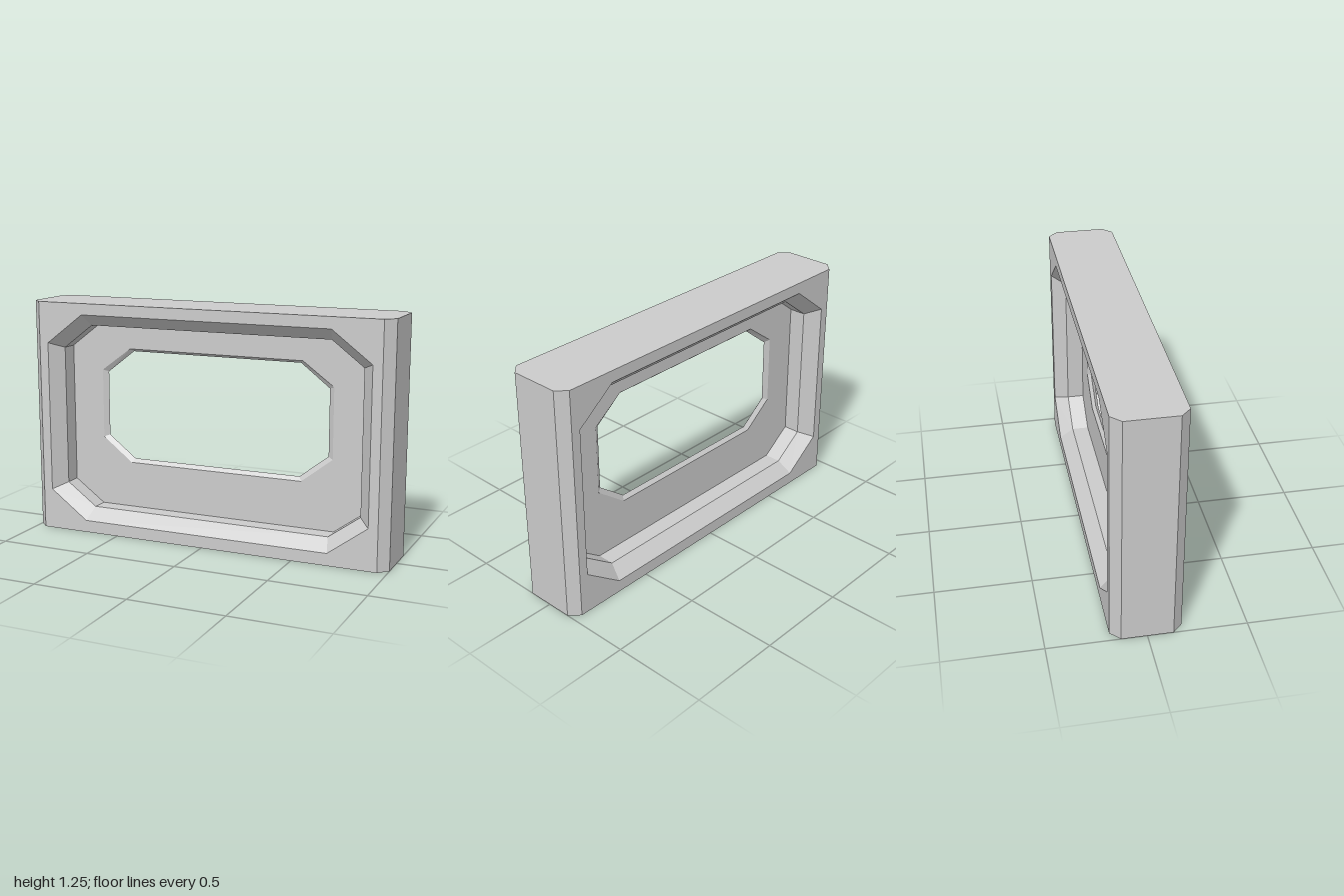
import * as THREE from 'three';

const W = 1, H = 1.25, D = 0.18, C = 0.05; // half width, height, half depth, corner chamfer
const PANEL_Z = 0.018;
const material = new THREE.MeshStandardMaterial({ color: 0xcccccc, flatShading: true });

// Counter-clockwise octagon: half width, corner half width, bottom, lower corner, upper corner, top
const octagon = (x, cx, y0, c0, c1, y1) => [
  [-cx, y0], [cx, y0], [x, c0], [x, c1], [cx, y1], [-cx, y1], [-x, c1], [-x, c0],
];
const rimOuter = octagon(0.9, 0.69, 0.065, 0.22, 1.03, 1.19);
const rimInner = octagon(0.838, 0.67, 0.128, 0.25, 1.0, 1.128);
const holeOuter = octagon(0.658, 0.49, 0.375, 0.505, 0.877, 1.0);
const holeInner = octagon(0.63, 0.475, 0.396, 0.515, 0.866, 0.986);

const atZ = (points, z) => points.map(([x, y]) => [x, y, z]);

// Quads between two matching rows of points
function strip(a, b, closed) {
  const pos = [];
  const n = a.length;
  for (let i = 0; i < (closed ? n : n - 1); i++) {
    const j = (i + 1) % n;
    pos.push(...a[i], ...a[j], ...b[j], ...a[i], ...b[j], ...b[i]);
  }
  const g = new THREE.BufferGeometry();
  g.setAttribute('position', new THREE.Float32BufferAttribute(pos, 3));
  g.computeVertexNormals();
  return g;
}

// Flat face, optionally with an opening
function face(points, hole) {
  const toVectors = (p) => p.map(([x, y]) => new THREE.Vector2(x, y));
  const shape = new THREE.Shape(toVectors(points));
  if (hole) shape.holes.push(new THREE.Path(toVectors(hole)));
  return new THREE.ShapeGeometry(shape);
}

function add(group, name, geometry) {
  const mesh = new THREE.Mesh(geometry, material);
  mesh.name = name;
  group.add(mesh);
}

// One half of the block: frame face, stepped recess, panel and window edge
function createSide(name) {
  const g = new THREE.Group();
  g.name = name;
  const border = [[C - W, 0], [W - C, 0], [W - C, H], [C - W, H]];
  add(g, 'frameFace', face(border, rimOuter).translate(0, 0, D));
  add(g, 'recessBevel', strip(atZ(rimOuter, D), atZ(rimInner, 0.108), true));
  add(g, 'recessWall', strip(atZ(rimInner, 0.108), atZ(rimInner, PANEL_Z), true));
  add(g, 'panel', face(rimInner, holeOuter).translate(0, 0, PANEL_Z));
  add(g, 'windowBevel', strip(atZ(holeOuter, PANEL_Z), atZ(holeInner, 0), true));

  // Chamfered end
  const edge = [[W - C, D], [W, D - C], [W, C - D], [W - C, -D]];
  const row = (y) => edge.map(([x, z]) => [x, y, z]);
  add(g, 'chamferedEnd', strip(row(0), row(H), false));
  return g;
}

export function createModel() {
  const model = new THREE.Group();
  model.name = 'windowBlock';
  const front = createSide('frontSide');
  const back = createSide('backSide');
  back.rotation.y = Math.PI;
  model.add(front, back);

  // Top and bottom share the chamfered footprint
  const footprint = [
    [C - W, -D], [W - C, -D], [W, C - D], [W, D - C],
    [W - C, D], [C - W, D], [-W, D - C], [-W, C - D],
  ];
  add(model, 'topFace', face(footprint).rotateX(-Math.PI / 2).translate(0, H, 0));
  add(model, 'bottomFace', face(footprint).rotateX(Math.PI / 2));
  return model;
}
